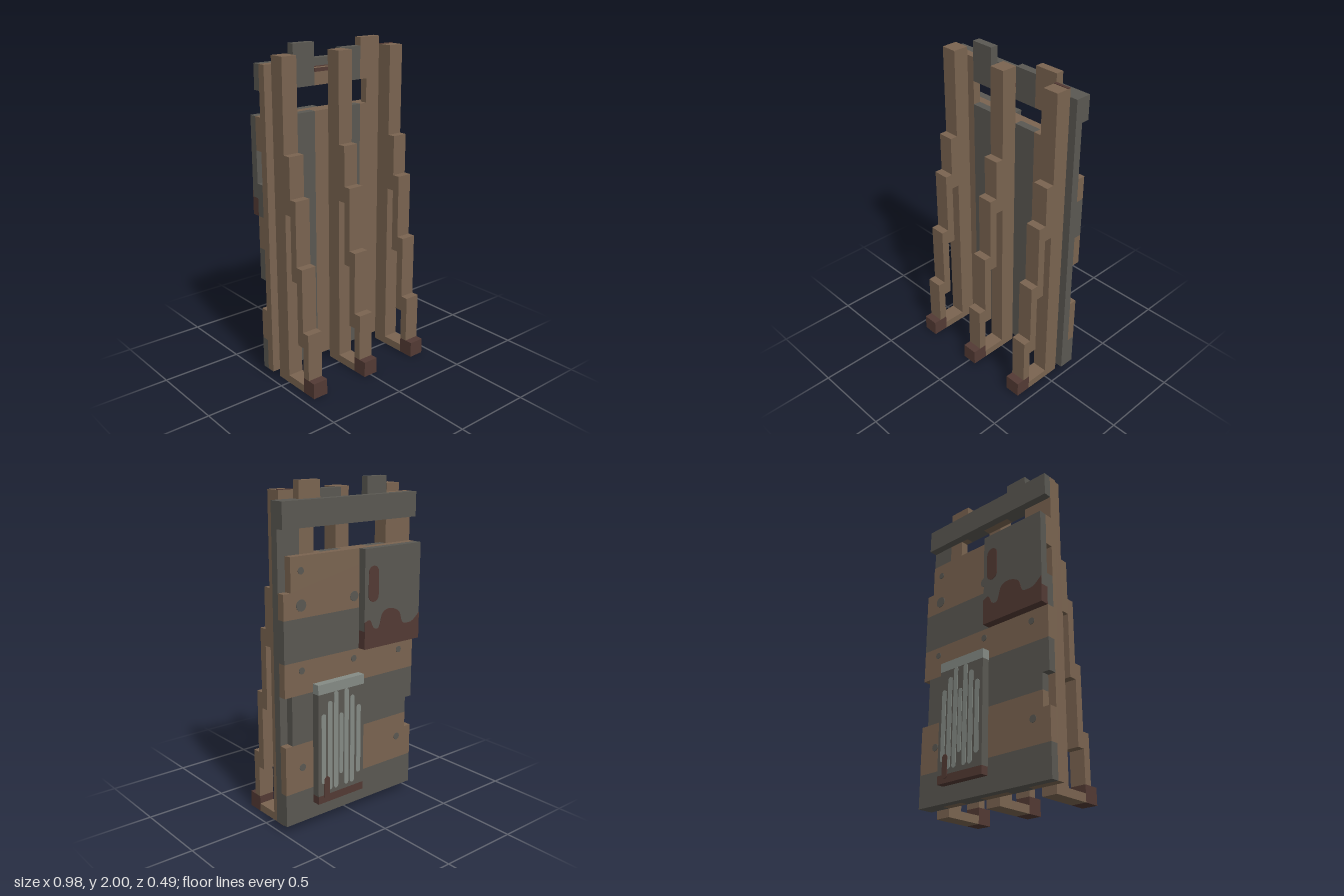
import * as THREE from 'three';

const U = 2 / 41; // one grid step

export function createModel() {
  const root = new THREE.Group();
  const mat = (name, color) => Object.assign(new THREE.MeshStandardMaterial({ color }), { name });
  const brown = mat('brown wood', 0x7a6450);
  const grey = mat('weathered grey', 0x5a5852);
  const rust = mat('dark rust', 0x533a34);
  const pale = mat('pale metal', 0x858b85);

  // Box given by its limits in grid steps
  const box = (name, m, x0, x1, y0, y1, z0, z1, parent = root) => {
    const g = new THREE.BoxGeometry((x1 - x0) * U, (y1 - y0) * U, (z1 - z0) * U);
    const mesh = new THREE.Mesh(g, m);
    mesh.name = name;
    mesh.position.set((x0 + x1) / 2 * U, (y0 + y1) / 2 * U, (z0 + z1) / 2 * U);
    parent.add(mesh);
    return mesh;
  };
  const group = (name) => {
    const g = new THREE.Group();
    g.name = name;
    root.add(g);
    return g;
  };
  // Thin painted plate lying on a back face at depth z
  const paint = (name, m, shape, z, parent, t = 0.003) => {
    const g = new THREE.ExtrudeGeometry(shape, { depth: t, bevelEnabled: false, curveSegments: 8 });
    const mesh = new THREE.Mesh(g, m);
    mesh.name = name;
    mesh.position.z = z - t;
    parent.add(mesh);
  };
  const pill = (x, y0, y1, r) => {
    const s = new THREE.Shape();
    s.absarc(x, y1 - r, r, 0, Math.PI);
    s.absarc(x, y0 + r, r, Math.PI, Math.PI * 2);
    return s;
  };
  const disc = (x, y, r) => new THREE.Shape().absarc(x, y, r, 0, Math.PI * 2);

  // Three posts, each with a foot, a ground rail and a stepped brace
  for (const x of [-8, 0, 8]) {
    const g = group('support');
    const a = x - 1, b = x + 1;
    box('post', brown, a, b, 0, 40, -2, 0, g);
    box('groundRail', brown, a, b, 0, 1, 0, 3, g);
    box('foot', rust, a, b, 0, 2, 3, 5, g);
    [[2, 8], [6, 16], [14, 24], [22, 29]].forEach(([y0, y1], i) =>
      box('braceStep', brown, a, b, y0, y1, 3 - i, 4 - i, g));
  }
  box('postStain', rust, 7, 9, 40, 40.06, -2, -1.6);

  // Vertical planks, with a viewing slot left open
  const front = group('verticalPlanks');
  [[brown, -10, -6, 1, 39],
    [grey, -6, -3, 1, 33], [grey, -6, -3, 36, 41],
    [brown, -3, 1, 1, 33], [brown, -3, 1, 36, 38],
    [grey, 1, 4, 1, 33], [grey, 1, 4, 36, 40],
    [brown, 4, 7, 1, 33], [brown, 5, 7, 33, 36], [brown, 4, 7, 36, 41],
    [grey, 7, 10, 1, 39],
  ].forEach(([m, x0, x1, y0, y1]) => box('verticalPlank', m, x0, x1, y0, y1, -3, -2, front));
  box('brokenEdgeFront', rust, -3, 1, 37.55, 38, -2, -1.95, front);
  box('brokenEdgeTop', rust, -3, 1, 38, 38.06, -3, -2.65, front);

  // Horizontal planks on the back, some cut short at the ends
  const back = group('horizontalPlanks');
  [[grey, -10, 10, 1, 5], [brown, -10, 10, 5, 9], [brown, -9, 10, 9, 11],
    [grey, -9, 9, 11, 13], [grey, -10, 9, 13, 17], [brown, -10, 10, 17, 21],
    [grey, -10, 10, 21, 25], [grey, -9, 10, 25, 26], [brown, -9, 10, 26, 29],
    [brown, -10, 9, 29, 33], [grey, -10, 10, 36, 39],
  ].forEach(([m, x0, x1, y0, y1]) => box('horizontalPlank', m, x0, x1, y0, y1, -4, -3, back));

  // Nail heads
  [[0.37, 1.34, 0.034], [-0.01, 1.34, 0.03], [0.37, 1.53, 0.02], [0.37, 0.97, 0.02],
    [-0.01, 0.97, 0.02], [-0.37, 0.96, 0.02], [0.37, 0.39, 0.022], [-0.37, 0.39, 0.022],
  ].forEach(([x, y, r]) => paint('nail', grey, disc(x, y, r), -4 * U, back));

  // Upper metal patch with rust along the bottom
  const upper = group('upperPatch');
  box('patchTop', grey, -10, -1, 23.2, 33, -5, -4, upper);
  box('patchBottom', rust, -10, -1, 21, 23.2, -5, -4, upper);
  const wave = new THREE.Shape();
  wave.moveTo(-U, 21 * U);
  wave.lineTo(-U, 21 * U + 0.16);
  wave.splineThru([[0.04, 0.17], [0.07, 0.12], [0.11, 0.12], [0.14, 0.2], [0.2, 0.22],
    [0.27, 0.19], [0.3, 0.12], [0.35, 0.11], [0.39, 0.12], [9 * U, 0.16],
  ].map(([t, h]) => new THREE.Vector2(-U - t, 21 * U + h)));
  wave.lineTo(-10 * U, 21 * U);
  paint('rustStain', rust, wave, -5 * U, upper);
  paint('rustStreak', rust, pill(-0.115, 1.3, 1.51, 0.038), -5 * U, upper);

  // Lower ribbed plate: pale top, ribs and a rusty bottom edge
  const lower = group('lowerPlate');
  box('plateTop', pale, -1, 6, 16.8, 18, -5, -4, lower);
  box('plateBody', grey, -1, 6, 4, 16.8, -5, -4, lower);
  box('plateBottom', rust, -1, 6, 3, 4, -5, -4, lower);
  [[0.255, 0.27, 0.7], [0.208, 0.22, 0.77], [0.163, 0.22, 0.82], [0.085, 0.22, 0.82],
    [0.04, 0.22, 0.77], [-0.008, 0.27, 0.7],
  ].forEach(([x, y0, y1]) => paint('rib', pale, pill(x, y0, y1, 0.016), -5 * U, lower));
  paint('middleRib', pale, pill(0.124, 0.3, 0.68, 0.014), -5 * U, lower);
  paint('rustSpot', rust, pill(0.232, 0.17, 0.31, 0.02), -5 * U, lower, 0.005);

  return root;
}
